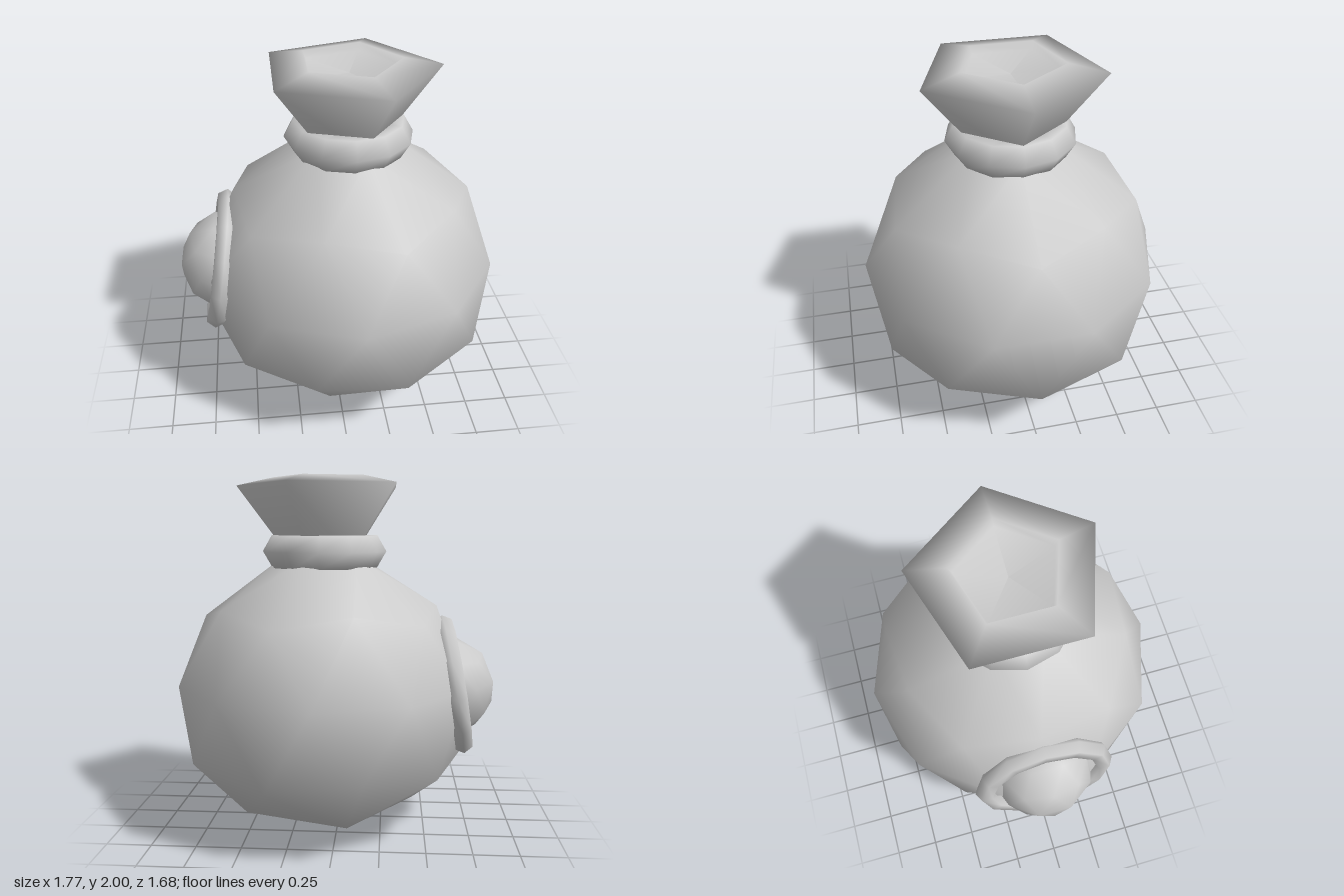
import * as THREE from 'three';
import { mergeVertices } from 'three/addons/utils/BufferGeometryUtils.js';

const material = new THREE.MeshStandardMaterial({ color: 0xcccccc });

function addPart(parent, name, geometry) {
  const mesh = new THREE.Mesh(geometry, material);
  mesh.name = name;
  parent.add(mesh);
  return mesh;
}

// Smooth 80-sided ball standing on a corner; widthAt(y) squeezes or swells it by height
function ball(radius, widthAt = () => 1) {
  let g = new THREE.IcosahedronGeometry(1, 1);
  g.deleteAttribute('uv');
  g.deleteAttribute('normal');
  g.rotateZ(-Math.atan(2 / (1 + Math.sqrt(5))));
  g = mergeVertices(g, 1e-4);
  const p = g.attributes.position;
  for (let i = 0; i < p.count; i++) {
    const w = widthAt(p.getY(i));
    p.setX(i, p.getX(i) * w);
    p.setZ(i, p.getZ(i) * w);
  }
  g.scale(radius, radius, radius);
  g.computeVertexNormals();
  return g;
}

// Sagging bag: wider below the middle, drawn in towards the neck
const SAG = [[-1, 1.165], [-0.851, 1.165], [-0.526, 1.105], [-0.447, 1.1], [0, 1],
  [0.447, 0.925], [0.526, 0.9], [0.851, 0.54], [1, 0.54]];
function sag(y) {
  let i = 1;
  while (i < SAG.length - 1 && y > SAG[i][0]) i++;
  const [y0, w0] = SAG[i - 1], [y1, w1] = SAG[i];
  return THREE.MathUtils.mapLinear(y, y0, y1, w0, w1);
}

export function createModel() {
  const model = new THREE.Group();
  model.name = 'tiedPouch';

  const bag = new THREE.Group();
  bag.name = 'bag';
  bag.position.x = 0.085;
  model.add(bag);

  addPart(bag, 'body', ball(0.84, sag)).position.y = 0.84;

  // Five-sided flared mouth with a shallow hollow
  const profile = [[0.2, 1.555], [0.5, 1.955], [0.285, 2], [0.265, 1.96], [0, 1.93]]
    .map(([r, y]) => new THREE.Vector2(r, y));
  addPart(bag, 'mouth', new THREE.LatheGeometry(profile, 5, Math.PI / 2));

  // Cord tied round the neck
  const cord = addPart(bag, 'neckCord', new THREE.TorusGeometry(0.25, 0.104, 6, 12));
  cord.rotation.x = Math.PI / 2;
  cord.position.y = 1.587;

  // Round badge on the right side, tilted to follow the bag
  const badge = new THREE.Group();
  badge.name = 'sideBadge';
  badge.position.set(-0.6, 0.81, 0);
  badge.rotation.z = -0.17;
  model.add(badge);

  addPart(badge, 'badgeDome', ball(0.3));
  const ring = addPart(badge, 'badgeRing', new THREE.TorusGeometry(0.35, 0.06, 6, 12));
  ring.rotation.y = Math.PI / 2;
  ring.position.x = -0.06;

  return model;
}
